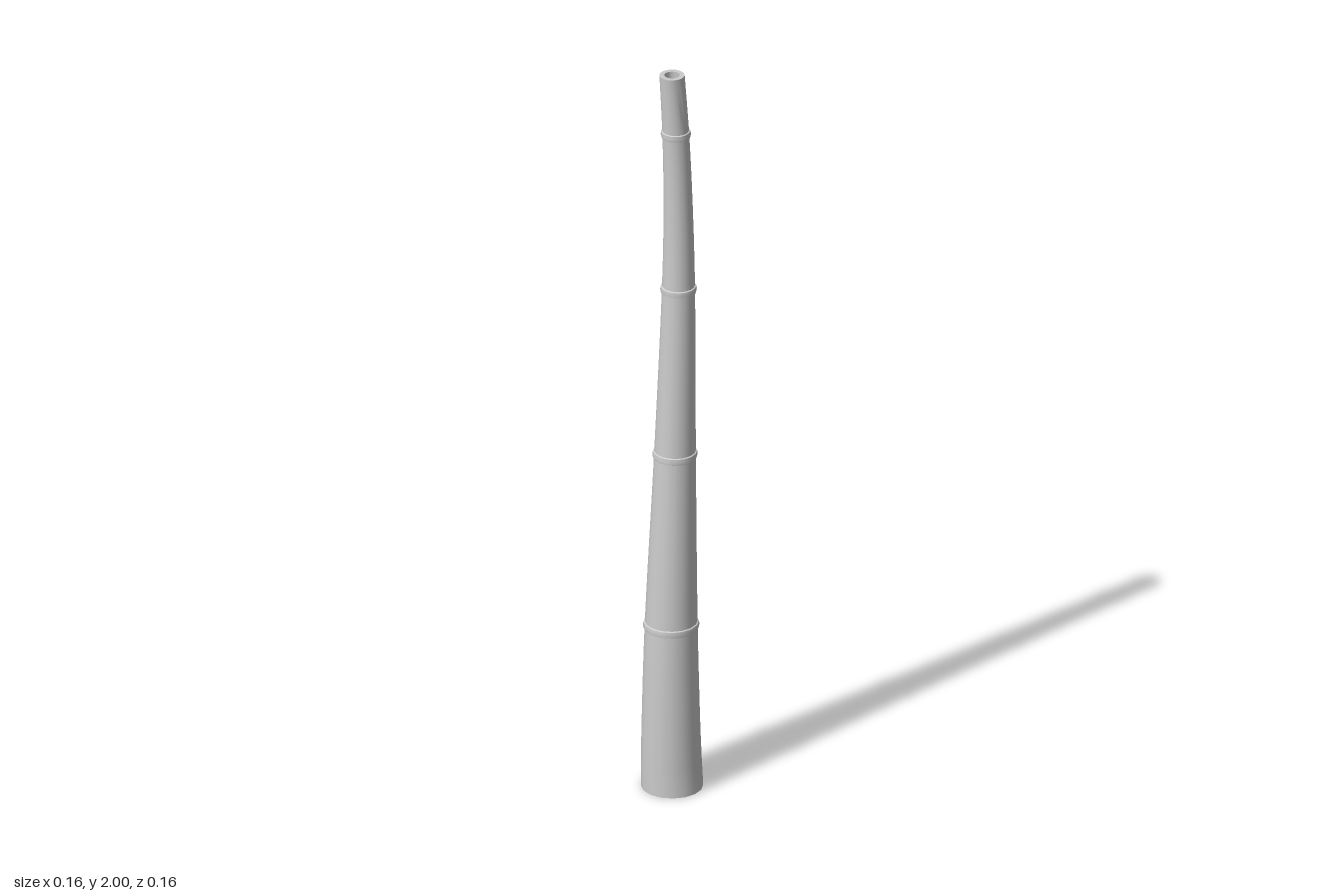
import * as THREE from 'three';
import { toCreasedNormals } from 'three/addons/utils/BufferGeometryUtils.js';

const SIDES = 16;
const WALL = 0.61; // inner radius as a share of the outer one

// Stations up the pole: height, outer radius, z of the centre line
const stations = [
  [0, 0.079, 0], [0.15, 0.075, 0.004], [0.46, 0.067, 0.003], [0.93, 0.053, -0.011],
  [1.39, 0.042, -0.024], [1.62, 0.037, -0.023], [1.83, 0.034, -0.014], [2, 0.032, 0],
];

// Smooth interpolation of a station column at height y
function sample(y, column) {
  let i = 0;
  while (i < stations.length - 2 && y > stations[i + 1][0]) i++;
  const slope = (k) => {
    const a = stations[Math.max(k - 1, 0)];
    const b = stations[Math.min(k + 1, stations.length - 1)];
    return (b[column] - a[column]) / (b[0] - a[0]);
  };
  const [p, q] = [stations[i], stations[i + 1]];
  const h = q[0] - p[0];
  const t = (y - p[0]) / h;
  const s = t * t * (3 - 2 * t);
  return p[column] + (q[column] - p[column]) * s
    + h * t * (1 - t) * ((1 - t) * (slope(i) - (q[column] - p[column]) / h)
    - t * (slope(i + 1) - (q[column] - p[column]) / h))
    + (q[column] - p[column]) * (t - s);
}

const radiusAt = (y) => sample(y, 1);
const bendAt = (y) => sample(y, 2);

// Turn a closed profile, then shift each level along the bent centre line
function bentLathe(name, profile, material) {
  const geometry = new THREE.LatheGeometry(profile.map(([r, y]) => new THREE.Vector2(r, y)), SIDES);
  const pos = geometry.attributes.position;
  for (let i = 0; i < pos.count; i++) pos.setZ(i, pos.getZ(i) + bendAt(pos.getY(i)));
  const mesh = new THREE.Mesh(toCreasedNormals(geometry, 0.6), material);
  mesh.name = name;
  return mesh;
}

export function createModel() {
  const group = new THREE.Group();
  group.name = 'bambooPole';
  const material = new THREE.MeshStandardMaterial({ color: 0xcccccc });

  // Hollow stalk: up the outside, over the rim, down the bore
  const levels = Array.from({ length: 27 }, (_, i) => (i / 26) * 2);
  const outside = levels.map((y) => [radiusAt(y), y]);
  const bore = levels.map((y) => [radiusAt(y) * WALL, y]).reverse();
  group.add(bentLathe('stalk', [...outside, ...bore, outside[0]], material));

  // Raised rings at the joints
  for (const y of [0.455, 0.93, 1.39, 1.83]) {
    const r = radiusAt(y);
    const bulge = 0.0045;
    group.add(bentLathe('jointRing', [
      [r - 0.003, y - 0.011], [r + bulge * 0.7, y - 0.008], [r + bulge, y],
      [r + bulge * 0.7, y + 0.008], [r - 0.003, y + 0.011],
    ], material));
  }
  return group;
}
